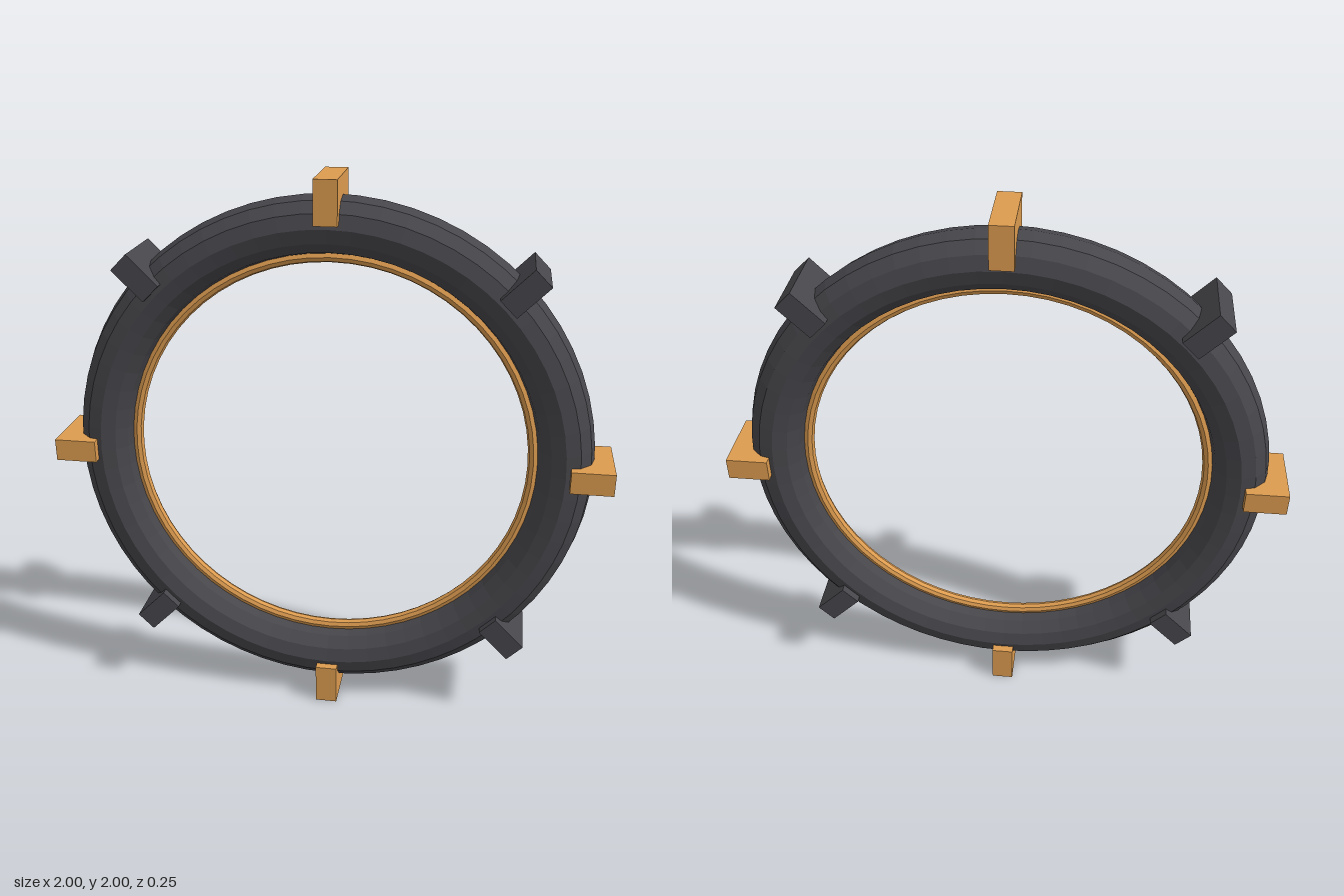
import * as THREE from 'three';

export function createModel() {
  const model = new THREE.Group();
  const dark = new THREE.MeshStandardMaterial({ color: 0x47464b, flatShading: true });
  const gold = new THREE.MeshStandardMaterial({ color: 0xdd9c50, flatShading: true });

  const add = (name, geometry, material) => {
    const mesh = new THREE.Mesh(geometry, material);
    mesh.name = name;
    mesh.position.y = 1;
    model.add(mesh);
    return mesh;
  };

  // Main hoop and the thin trim lining its inside
  add('outerRing', new THREE.TorusGeometry(0.835, 0.1, 12, 64), dark);
  add('innerTrim', new THREE.TorusGeometry(0.725, 0.02, 8, 64), gold);

  // Eight clamps around the hoop, alternating gold and dark
  const clamp = new THREE.BoxGeometry(0.15, 0.08, 0.25);
  for (let i = 0; i < 8; i++) {
    const angle = (i * Math.PI) / 4;
    const isGold = i % 2 === 0;
    const mesh = add(isGold ? 'goldClamp' : 'darkClamp', clamp, isGold ? gold : dark);
    mesh.position.set(0.925 * Math.cos(angle), 1 + 0.925 * Math.sin(angle), 0);
    mesh.rotation.z = angle;
  }
  return model;
}
